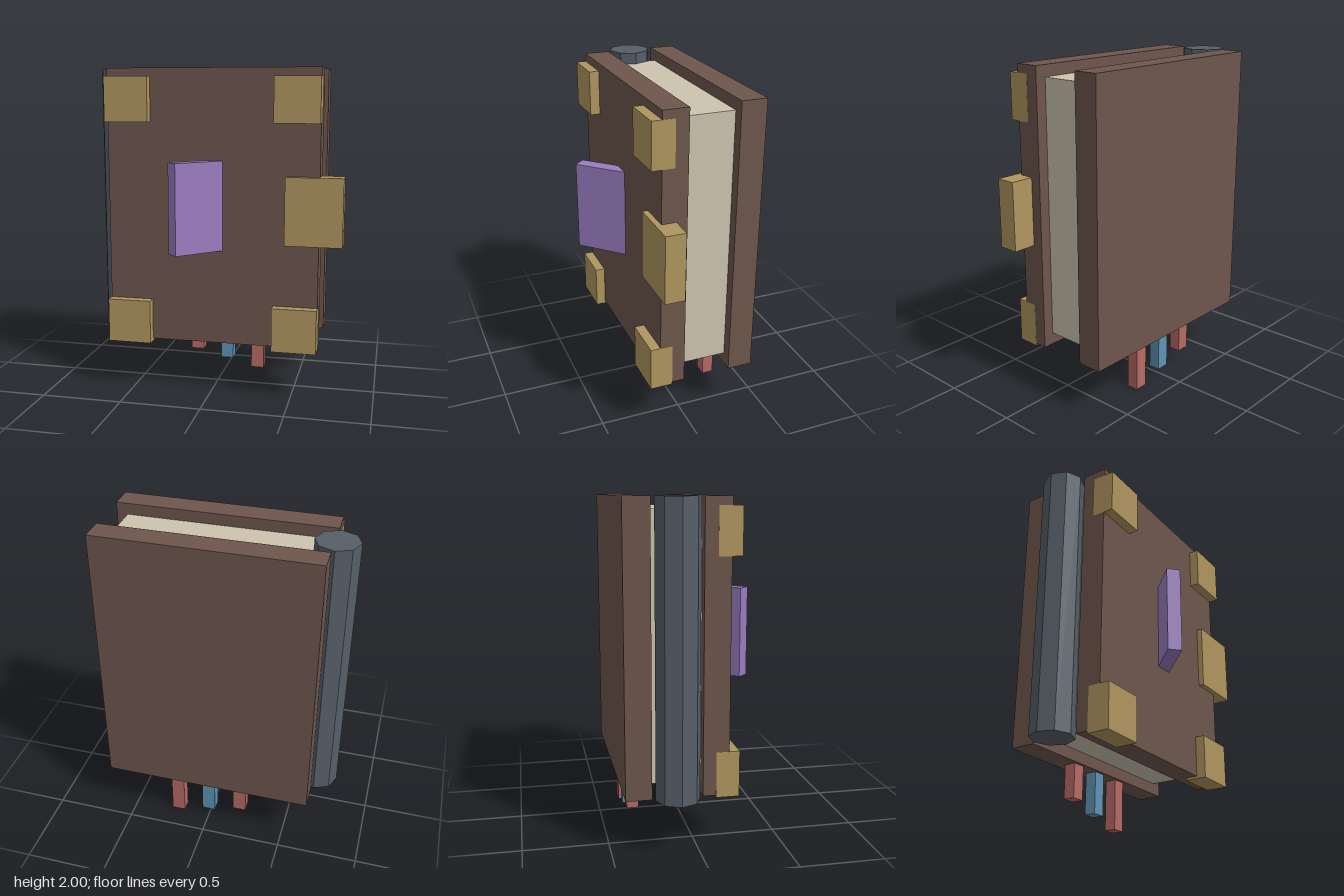
import * as THREE from 'three';

const material = (color) => new THREE.MeshStandardMaterial({ color, flatShading: true });

export function createModel() {
  const book = new THREE.Group();
  book.name = 'book';

  const leather = material(0x6d564c);
  const paper = material(0xcdc4b0);
  const iron = material(0x565f68);
  const brass = material(0xb0965f);
  const crystal = material(0x9a7cc0);
  const red = material(0xb56a64);
  const blue = material(0x5f93b5);

  const add = (name, geometry, mat, x, y, z) => {
    const mesh = new THREE.Mesh(geometry, mat);
    mesh.name = name;
    mesh.position.set(x, y, z);
    book.add(mesh);
    return mesh;
  };

  // Box given by its extents along each axis
  const block = (name, mat, [x0, x1], [y0, y1], [z0, z1]) =>
    add(name, new THREE.BoxGeometry(x1 - x0, y1 - y0, z1 - z0), mat,
      (x0 + x1) / 2, (y0 + y1) / 2, (z0 + z1) / 2);

  // Covers and page block
  block('frontCover', leather, [-0.653, 0.653], [0.313, 2], [0.03, 0.183]);
  block('backCover', leather, [-0.653, 0.653], [0.313, 2], [-0.417, -0.265]);
  block('pages', paper, [-0.587, 0.587], [0.385, 1.932], [-0.27, 0.035]);

  // Octagonal spine
  add('spine', new THREE.CylinderGeometry(0.128, 0.128, 1.687, 8), iron, -0.668, 1.1565, -0.12);

  // Corner guards on the front cover
  for (const side of [-1, 1]) {
    for (const y of [0.434, 1.814]) {
      add('cornerGuard', new THREE.BoxGeometry(0.272, 0.272, 0.136), brass, side * 0.518, y, 0.175);
    }
  }

  // Clasp on the fore edge
  block('clasp', brass, [0.45, 0.795], [0.952, 1.364], [0.096, 0.218]);

  // Slanted crystal slab set into the front cover
  const slab = add('crystalSlab', new THREE.BoxGeometry(0.55, 0.55, 0.085), crystal, 0, 1.175, 0.19);
  slab.rotation.y = Math.PI / 4;

  // Ribbon bookmarks hanging below
  [[-0.207, 0.105, red], [0, 0.055, blue], [0.21, 0, red]].forEach(([x, bottom, mat]) =>
    block('ribbon', mat, [x - 0.042, x + 0.042], [bottom, 0.45], [-0.358, -0.286]));

  return book;
}
